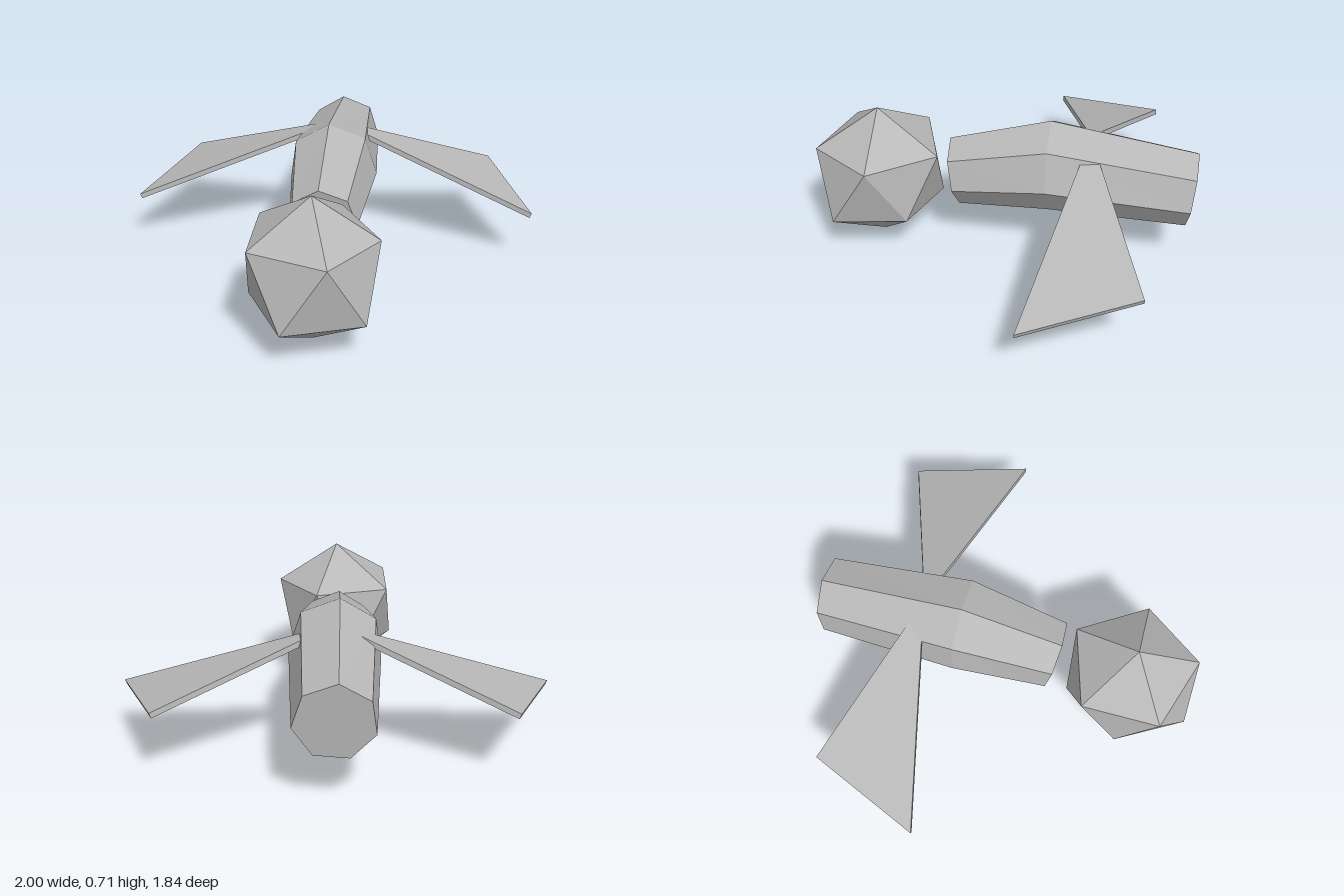
import * as THREE from 'three';
import { ConvexGeometry } from 'three/addons/geometries/ConvexGeometry.js';

const V = (x, y, z) => new THREE.Vector3(x, y, z);

// Faceted, slightly uneven ball standing on its point
function headGeometry() {
  return new ConvexGeometry([
    V(0, 0.71, 0.61),
    V(0.1, 0.515, 0.9), V(0.3, 0.515, 0.61), V(0.1, 0.525, 0.305),
    V(-0.26, 0.52, 0.42), V(-0.255, 0.52, 0.79),
    V(-0.1, 0.2, 0.92), V(0.257, 0.2, 0.8), V(0.225, 0.22, 0.44),
    V(-0.095, 0.21, 0.323), V(-0.286, 0.22, 0.61),
    V(0, 0, 0.61),
  ]);
}

// Seven-sided bent barrel: rings run front to back, tilt leans the ring along z
function bodyGeometry() {
  const sides = 7, twist = -0.09;
  const rings = [
    { y: 0.4, z: 0.233, r: 0.166, tilt: 0.18 },
    { y: 0.478, z: -0.22, r: 0.222, tilt: 0 },
    { y: 0.405, z: -0.9, r: 0.182, tilt: -0.1 },
  ];
  const point = (ring, i) => {
    const a = twist + (i / sides) * Math.PI * 2;
    const h = ring.r * Math.cos(a);
    return V(ring.r * Math.sin(a), ring.y + h, ring.z + ring.tilt * h);
  };
  const centre = (ring) => V(0, ring.y, ring.z);
  const pts = [];
  for (let i = 0; i < sides; i++) {
    for (let k = 0; k < rings.length - 1; k++) {
      const a = point(rings[k], i), b = point(rings[k], i + 1);
      const c = point(rings[k + 1], i + 1), d = point(rings[k + 1], i);
      pts.push(a, b, c, a, c, d);
    }
    // end caps
    const f = rings[0], e = rings[rings.length - 1];
    pts.push(centre(f), point(f, i + 1), point(f, i));
    pts.push(centre(e), point(e, i), point(e, i + 1));
  }
  const geo = new THREE.BufferGeometry().setFromPoints(pts);
  geo.computeVertexNormals();
  return geo;
}

// Thin triangular plate drooping outward from inside the body
function wingGeometry(side) {
  const top = [V(0.004, 0.645, -0.41), V(0.998, 0.279, -0.19), V(0.79, 0.356, -0.713)];
  const under = top.map((p) => V(p.x - 0.009, p.y - 0.024, p.z));
  return new ConvexGeometry([...top, ...under].map((p) => V(p.x * side, p.y, p.z)));
}

export function createModel() {
  const grey = new THREE.MeshStandardMaterial({ color: 0xb8b8b8, flatShading: true });
  grey.name = 'grey';

  const model = new THREE.Group();
  model.name = 'flyingInsect';
  const add = (name, geometry) => {
    const mesh = new THREE.Mesh(geometry, grey);
    mesh.name = name;
    model.add(mesh);
  };

  add('head', headGeometry());
  add('body', bodyGeometry());
  add('leftWing', wingGeometry(1));
  add('rightWing', wingGeometry(-1));
  return model;
}
